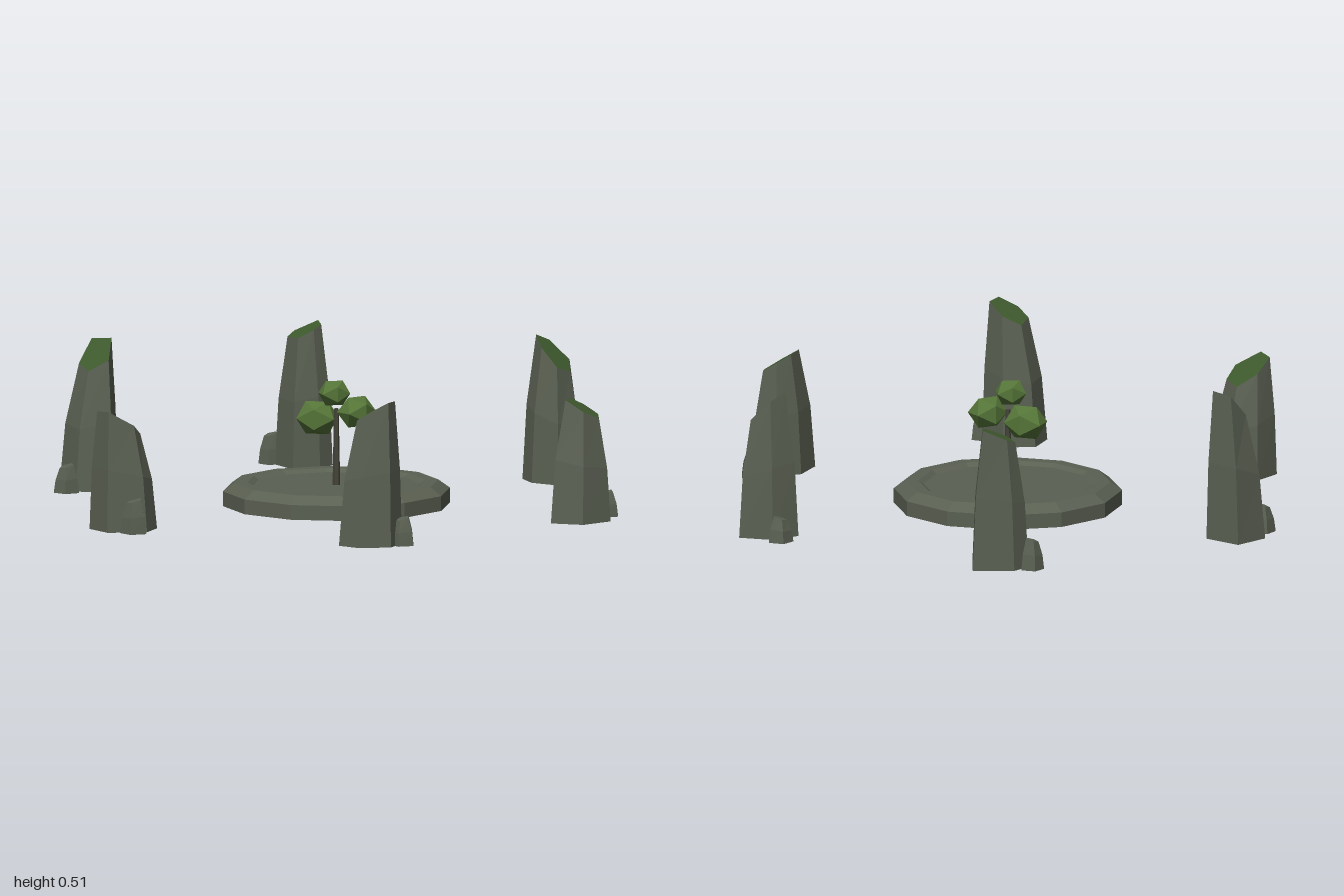
import * as THREE from 'three';

const flat = (name, color) => {
  const m = new THREE.MeshStandardMaterial({ color, flatShading: true });
  m.name = name;
  return m;
};

// Triangles (lists of [x, y, z] corners) to a flat-shaded mesh
function facets(name, tris, material) {
  const g = new THREE.BufferGeometry();
  g.setAttribute('position', new THREE.Float32BufferAttribute(tris.flat(2), 3));
  g.computeVertexNormals();
  const mesh = new THREE.Mesh(g, material);
  mesh.name = name;
  return mesh;
}

// Tapered rock: footprint [x, z] clockwise from above, and a tilted top facet
function rock(name, foot, { c, h, sx = 0, sz = 0, s }, bodyMat, capMat) {
  const n = foot.length;
  const mx = foot.reduce((a, p) => a + p[0], 0) / n;
  const mz = foot.reduce((a, p) => a + p[1], 0) / n;
  const base = foot.map(([x, z]) => [x, 0, z]);
  const top = foot.map(([x, z]) => {
    const dx = s * (x - mx), dz = s * (z - mz);
    return [c[0] + dx, h + sx * dx + sz * dz, c[1] + dz];
  });
  // Waist ring set wide, so the sides bulge before narrowing
  const waist = base.map((b, i) => [
    b[0] + (top[i][0] - b[0]) * 0.3, top[i][1] * 0.52, b[2] + (top[i][2] - b[2]) * 0.3]);
  const body = [], cap = [];
  for (let i = 0; i < n; i++) {
    const j = (i + 1) % n;
    for (const [lo, hi] of [[base, waist], [waist, top]]) {
      body.push([lo[j], lo[i], hi[i]], [lo[j], hi[i], hi[j]]);
    }
    body.push([[mx, 0, mz], base[i], base[j]]);
    cap.push([[c[0], h, c[1]], top[j], top[i]]);
  }
  const group = new THREE.Group();
  group.name = name;
  group.add(facets(name + 'Body', body, bodyMat), facets(name + 'Top', cap, capMat));
  return group;
}

// Footprint, tilted top and companion pebble [x, z, radius, height] of each stone
const STONES = [
  { name: 'rightStone',
    foot: [[-.973, -.096], [-.834, -.075], [-.797, .053], [-.914, .091], [-1, .032]],
    top: { c: [-.885, -.01], h: .455, sx: .25, sz: -1, s: .56 }, pebble: [-.937, .115, .045, .09] },
  { name: 'leftStone',
    foot: [[.866, -.086], [.957, -.096], [1, -.01], [.947, .1], [.834, .112], [.813, -.01]],
    top: { c: [.9, -.01], h: .38, sx: -.6, sz: .15, s: .56 }, pebble: [.935, -.12, .046, .08] },
  { name: 'backRightStone',
    foot: [[-.417, -.888], [-.358, -.797], [-.374, -.727], [-.444, -.658], [-.545, -.738], [-.535, -.813]],
    top: { c: [-.455, -.79], h: .455, sx: .3, sz: -.3, s: .58 }, pebble: [-.567, -.755, .042, .1] },
  { name: 'backLeftStone',
    foot: [[.39, -.866], [.503, -.898], [.556, -.79], [.519, -.679], [.412, -.7], [.348, -.77]],
    top: { c: [.455, -.79], h: .43, sx: -1, sz: 0, s: .58 }, pebble: [.36, -.867, .045, .08] },
  { name: 'frontRightStone',
    foot: [[-.449, .658], [-.337, .738], [-.332, .834], [-.449, .898], [-.54, .84], [-.535, .727]],
    top: { c: [-.45, .8], h: .36, sx: -.3, sz: .6, s: .64 }, pebble: [-.365, .865, .048, .11] },
  { name: 'frontLeftStone',
    foot: [[.444, .679], [.551, .717], [.556, .823], [.46, .877], [.38, .856], [.353, .738]],
    top: { c: [.475, .77], h: .45, sx: .6, sz: .02, s: .6 }, pebble: [.568, .752, .045, .09] },
];

export function createModel() {
  const model = new THREE.Group();
  model.name = 'stoneCircle';
  const stone = flat('stone', 0x5a6052);
  const moss = flat('moss', 0x3f5a2e);
  const bark = flat('bark', 0x45443a);
  const leaf = flat('leaf', 0x557538);

  // Ring of standing stones, each with a pebble at its foot
  STONES.forEach(({ name, foot, top, pebble: [x, z, r, h] }, k) => {
    model.add(rock(name, foot, top, stone, moss));
    const pebbleFoot = [];
    for (let i = 0; i < 5; i++) {
      const a = k * 1.3 + (i / 5) * Math.PI * 2;
      pebbleFoot.push([x + r * Math.cos(a), z + r * Math.sin(a)]);
    }
    model.add(rock(name + 'Pebble', pebbleFoot, { c: [x, z], h, sx: .2, sz: -.2, s: .55 }, stone, stone));
  });

  // Twelve-sided dais with bevelled rim and shallow basin
  const profile = [[0, 0], [.384, 0], [.384, .05], [.345, .078], [.302, .078], [.284, .066], [0, .066]];
  const dais = new THREE.Mesh(
    new THREE.LatheGeometry(profile.map(([x, y]) => new THREE.Vector2(x, y)), 12), stone);
  dais.name = 'dais';
  model.add(dais);

  // Small tree
  const trunk = new THREE.Mesh(new THREE.CylinderGeometry(.008, .013, .26, 6), bark);
  trunk.name = 'trunk';
  trunk.position.y = .195;
  model.add(trunk);
  const clumps = [[-.07, .29, 0, .072, .2], [.062, .314, -.028, .066, 1.1], [0, .38, .018, .054, .7]];
  for (const [x, y, z, r, turn] of clumps) {
    const clump = new THREE.Mesh(new THREE.IcosahedronGeometry(r, 0), leaf);
    clump.name = 'leafClump';
    clump.position.set(x, y, z);
    clump.scale.set(1.05, .9, .95);
    clump.rotation.y = turn;
    model.add(clump);
  }
  return model;
}
